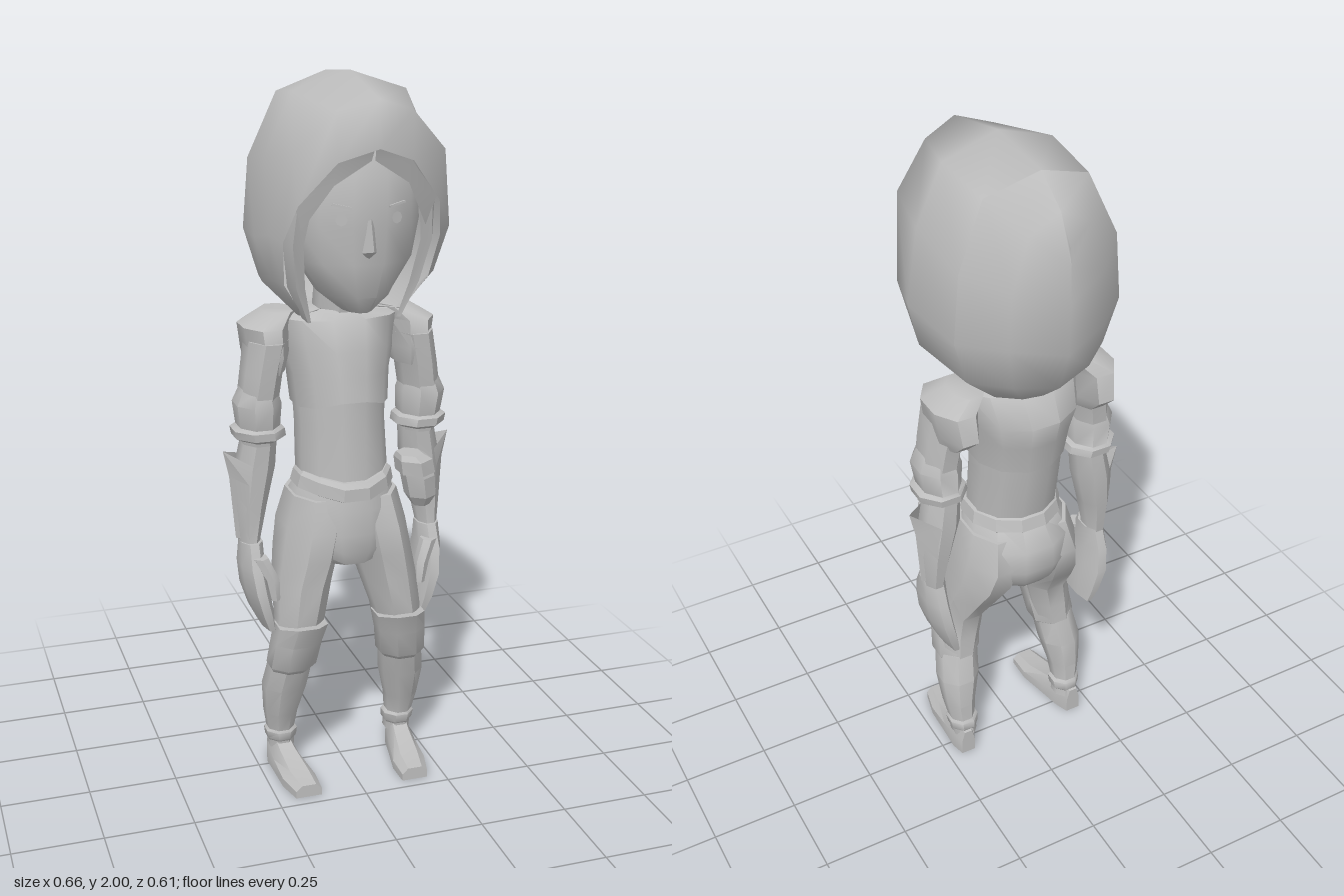
import * as THREE from 'three';
import { toCreasedNormals } from 'three/addons/utils/BufferGeometryUtils.js';

const grey = new THREE.MeshStandardMaterial({ color: 0xbdbdbd, side: THREE.DoubleSide });
grey.name = 'plain grey';

// Skin a grid of points (rows of [x, y, z]); optional wrap-around, end caps and flip.
function skin(name, rows, { closed = false, caps = false, flip = false, crease = 0.6 } = {}) {
  const pos = [], n = rows[0].length;
  const tri = (a, b, c) => pos.push(...a, ...(flip ? c : b), ...(flip ? b : c));
  for (let i = 0; i + 1 < rows.length; i++) {
    for (let j = 0; j < (closed ? n : n - 1); j++) {
      const k = (j + 1) % n;
      tri(rows[i][j], rows[i][k], rows[i + 1][j]);
      tri(rows[i][k], rows[i + 1][k], rows[i + 1][j]);
    }
  }
  if (caps) {
    const mid = r => [0, 1, 2].map(c => r.reduce((t, p) => t + p[c], 0) / n);
    const top = rows[0], low = rows[rows.length - 1], mt = mid(top), ml = mid(low);
    for (let j = 0; j < n; j++) {
      const k = (j + 1) % n;
      tri(mt, top[k], top[j]);
      tri(ml, low[j], low[k]);
    }
  }
  const g = new THREE.BufferGeometry();
  g.setAttribute('position', new THREE.Float32BufferAttribute(pos, 3));
  const mesh = new THREE.Mesh(toCreasedNormals(g, crease), grey);
  mesh.name = name;
  return mesh;
}

// Stack of oval sections from top to bottom: [x, y, z, rx, rz, frontDip]. s = -1 mirrors in x.
function loft(name, sections, n = 8, s = 1, crease = 0.8) {
  const rows = sections.map(([x, y, z, rx, rz, dip = 0]) =>
    Array.from({ length: n }, (_, j) => {
      const a = (j + 0.5) / n * Math.PI * 2, f = 1 / Math.cos(Math.PI / n);
      const front = Math.max(0, Math.sin(a));
      return [s * (x + rx * f * Math.cos(a)), y - dip * front ** 4, z + rz * f * Math.sin(a)];
    }));
  return skin(name, rows, { closed: true, caps: true, flip: s < 0, crease });
}

function makeHead() {
  const head = new THREE.Group();
  head.name = 'head';
  head.position.x = 0.008;

  // Hood: half arches from the brim to the back, crown first and neck last
  const arches = [
    [[0, 1.825, .305], [.1, 1.79, .272], [.19, 1.68, .225], [.215, 1.58, .17], [.2, 1.46, .125], [.14, 1.37, .09], [.06, 1.37, .02]],
    [[0, 1.945, .296], [.1, 1.915, .265], [.203, 1.81, .225], [.248, 1.6, .15], [.225, 1.47, .1], [.145, 1.365, .07], [.05, 1.365, .01]],
    [[0, 2, .06], [.155, 1.95, .06], [.23, 1.79, .06], [.262, 1.58, .06], [.24, 1.46, .05], [.14, 1.36, .03], [0, 1.36, 0]],
    [[0, 1.985, -.155], [.145, 1.935, -.133], [.222, 1.76, -.15], [.238, 1.57, -.15], [.2, 1.44, -.14], [.11, 1.355, -.12], [0, 1.36, -.06]],
    [[0, 1.92, -.25], [.085, 1.875, -.25], [.13, 1.73, -.25], [.135, 1.57, -.245], [.11, 1.44, -.22], [.055, 1.36, -.17], [0, 1.36, -.1]],
    [[0, 1.845, -.296], [0, 1.8, -.302], [0, 1.7, -.308], [0, 1.55, -.302], [0, 1.43, -.26], [0, 1.36, -.18], [0, 1.36, -.11]],
  ];
  const rows = arches.map(h => [
    ...h.slice().reverse(),
    ...h.slice(1).map(([x, y, z]) => [-x, y, z]),
  ]);
  // Two smooth halves meeting at a seam behind the crown
  head.add(skin('hoodFront', rows.slice(0, 4), { flip: true, crease: 1.5 }));
  head.add(skin('hoodBack', rows.slice(3), { flip: true, crease: 1.5 }));

  // Face, nose and neck
  head.add(loft('face', [
    [0, 1.84, .07, .12, .12], [0, 1.75, .09, .165, .147], [0, 1.62, .085, .172, .143],
    [0, 1.52, .085, .153, .137], [0, 1.43, .09, .095, .118], [0, 1.385, .1, .04, .08],
  ], 12));
  head.add(skin('nose', [
    [[-.014, 1.63, .22], [0, 1.64, .236], [.014, 1.63, .22]],
    [[-.024, 1.55, .215], [0, 1.56, .262], [.024, 1.55, .215]],
    [[-.012, 1.535, .21], [0, 1.535, .22], [.012, 1.535, .21]],
  ], { flip: true, crease: 0.3 }));
  head.add(loft('neck', [[0, 1.45, 0, .07, .08], [0, 1.33, -.02, .075, .08]]));
  for (const s of [1, -1]) {
    // Parted fringe and long side lock
    head.add(skin('fringe', [
      [[0, 1.83, .27], [s * .1, 1.79, .255], [s * .19, 1.69, .2]],
      [[s * .005, 1.79, .252], [s * .1, 1.73, .24], [s * .175, 1.6, .175]],
    ], { flip: s > 0 }));
    head.add(skin('sideLock', [
      [[s * .14, 1.71, .21], [s * .18, 1.7, .2], [s * .205, 1.67, .15]],
      [[s * .16, 1.57, .17], [s * .19, 1.57, .175], [s * .205, 1.57, .13]],
      [[s * .145, 1.45, .13], [s * .17, 1.45, .135], [s * .185, 1.45, .1]],
      [[s * .12, 1.35, .1], [s * .13, 1.35, .105], [s * .14, 1.36, .08]],
    ], { flip: s < 0, crease: 0.4 }));
    // Eye and brow plates
    const eye = new THREE.Mesh(new THREE.CircleGeometry(.016, 8), grey);
    eye.name = 'eye';
    eye.position.set(s * .075, 1.64, .222);
    eye.rotation.y = s * .3;
    const brow = new THREE.Mesh(new THREE.BoxGeometry(.05, .006, .005), grey);
    brow.name = 'brow';
    brow.position.set(s * .075, 1.675, .224);
    brow.rotation.set(0, s * .3, s * .2);
    head.add(eye, brow);
  }
  return head;
}

function makeBody() {
  const body = new THREE.Group();
  body.name = 'body';
  // Chest with a hem peaking at the centre, over a narrower waist
  body.add(loft('chest', [
    [0, 1.368, -.02, .085, .08], [0, 1.345, -.025, .17, .11], [0, 1.26, -.038, .155, .147],
    [0, 1.19, -.024, .138, .147], [0, 1.1, -.01, .131, .142, -.03],
  ], 12));
  body.add(loft('waist', [
    [0, 1.16, -.016, .126, .14], [0, 1.05, -.007, .121, .136], [0, .91, .012, .125, .123, .02],
  ], 12));
  body.add(loft('belt', [
    [0, .92, .02, .122, .125, .02], [0, .91, .02, .132, .138, .025],
    [0, .875, .015, .14, .143, .025], [0, .868, .01, .13, .13, .025],
  ], 12, 1, 0.4));
  body.add(loft('hips', [
    [0, .885, .012, .125, .13], [0, .82, -.003, .158, .157], [0, .75, -.005, .166, .158],
    [0, .7, .003, .145, .15], [0, .662, .012, .1, .128],
  ], 12, 1, 1));
  // Belt pouch on the left hip with its flap
  body.add(loft('pouch', [
    [.185, .93, .09, .035, .04], [.2, .89, .09, .042, .047],
    [.21, .83, .085, .038, .045], [.212, .8, .085, .022, .025],
  ], 6, 1, 0.3));
  body.add(loft('pouchFlap', [
    [.178, .955, .085, .032, .04], [.188, .94, .085, .046, .057], [.195, .9, .085, .048, .057],
  ], 6, 1, 0.3));
  return body;
}

function makeArm(s) {
  const arm = new THREE.Group();
  arm.name = s > 0 ? 'leftArm' : 'rightArm';
  const add = (name, sections, n = 8) => arm.add(loft(name, sections, n, s));
  add('shoulder', [
    [.165, 1.362, -.045, .045, .065], [.208, 1.325, -.035, .064, .1], [.205, 1.25, -.037, .056, .115], [.207, 1.2, -.02, .045, .08],
  ]);
  add('upperArm', [
    [.208, 1.29, -.01, .054, .09], [.224, 1.2, -.005, .052, .08], [.238, 1.1, -.005, .052, .07], [.235, 1, -.01, .045, .06],
  ]);
  add('sleeveCuff', [
    [.235, 1.16, -.002, .046, .062], [.238, 1.115, -.003, .062, .08], [.235, 1.05, -.008, .056, .073],
    [.237, 1.042, -.008, .07, .08], [.233, 1.02, -.008, .07, .078], [.232, 1.01, -.008, .05, .062],
  ]);
  add('forearm', [
    [.23, 1.02, -.015, .045, .06], [.242, .93, -.02, .052, .06], [.258, .82, -.015, .042, .055],
    [.265, .72, -.01, .028, .045], [.263, .69, -.005, .028, .045],
  ]);
  // Bracer with a pointed outer flare
  arm.add(skin('bracer', [
    [[.265, .945, .048], [.332, .975, -.02], [.265, .945, -.085]],
    [[.275, .89, .045], [.316, .9, -.02], [.275, .89, -.08]],
    [[.275, .73, .038], [.302, .72, -.012], [.275, .73, -.055]],
  ].map(r => r.map(([x, y, z]) => [s * x, y, z])), { flip: s > 0, crease: 0.3 }));
  add('hand', [
    [.263, .715, -.002, .03, .048], [.264, .65, .0, .033, .075], [.256, .58, .003, .033, .093],
    [.238, .51, .005, .028, .09], [.225, .465, .005, .018, .08],
  ]);
  add('thumb', [[.25, .68, .055, .02, .024], [.222, .62, .075, .018, .022], [.215, .56, .08, .012, .016]], 6);
  return arm;
}

function makeLeg(s) {
  const leg = new THREE.Group();
  leg.name = s > 0 ? 'leftLeg' : 'rightLeg';
  const add = (name, sections, n = 8) => leg.add(loft(name, sections, n, s));
  add('thigh', [
    [.08, .85, .005, .07, .12], [.092, .76, .003, .082, .148], [.108, .68, .015, .08, .138], [.126, .6, .035, .076, .108],
    [.143, .5, .07, .066, .078], [.155, .42, .06, .062, .065], [.165, .34, .05, .05, .06],
  ]);
  // Knee guard flaring out over the front
  add('kneeGuard', [
    [.145, .485, .093, .07, .082, -.015], [.155, .43, .08, .068, .068], [.165, .35, .06, .066, .066], [.168, .335, .055, .055, .055],
  ]);
  add('shin', [
    [.166, .36, .055, .058, .062], [.178, .27, .027, .06, .062], [.185, .18, .008, .046, .05],
    [.183, .11, -.005, .036, .04], [.18, .06, -.01, .036, .042],
  ]);
  add('ankleCuff', [
    [.183, .125, -.003, .036, .04], [.182, .115, -.004, .045, .047], [.181, .09, -.008, .042, .045], [.181, .08, -.008, .034, .038],
  ]);
  // Foot: low sections running from heel to toe
  const foot = [[.188, -.058, .022, .085], [.185, -.015, .035, .1], [.178, .05, .04, .07], [.168, .14, .048, .045], [.16, .215, .038, .036]];
  leg.add(skin('foot', foot.map(([x, z, w, h]) => [
    [x - w, 0], [x - w, h * .55], [x - w * .55, h], [x + w * .55, h], [x + w, h * .55], [x + w, 0],
  ].map(([px, y]) => [s * px, y, z])), { closed: true, caps: true, flip: s < 0, crease: 0.7 }));
  return leg;
}

export function createModel() {
  const model = new THREE.Group();
  model.name = 'hoodedFigure';
  model.add(makeHead(), makeBody());
  for (const s of [1, -1]) model.add(makeArm(s), makeLeg(s));
  return model;
}
